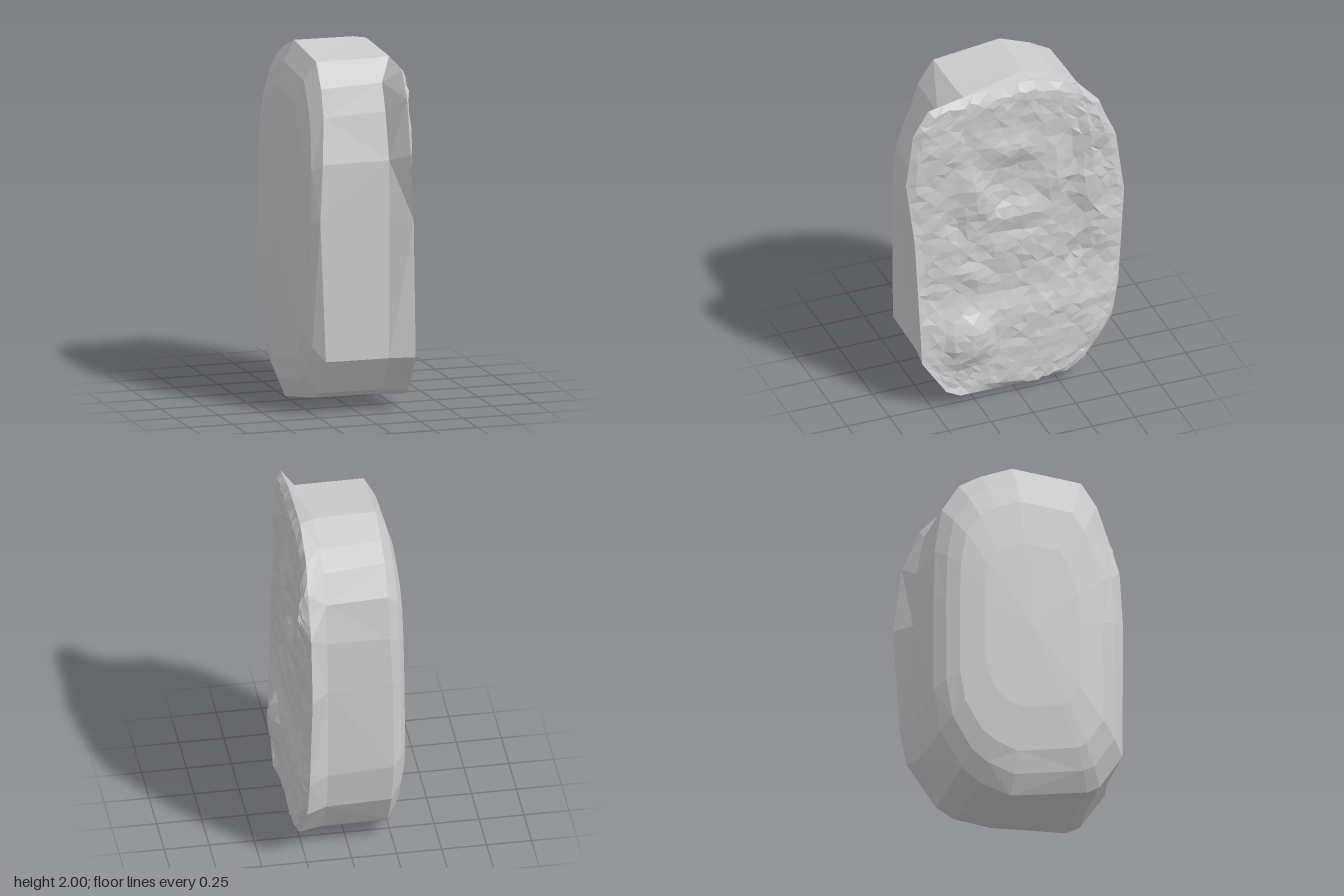
import * as THREE from 'three';

// Back outline as [z, y, x offset], from the top round by -z, the bottom and +z
const backOutline = [
  [-0.08, 2.0, 0], [-0.26, 1.93, 0], [-0.38, 1.86, 0], [-0.48, 1.7, 0], [-0.52, 1.45, 0],
  [-0.53, 1.15, -0.01], [-0.53, 0.6, -0.01], [-0.49, 0.36, 0], [-0.37, 0.15, 0], [-0.27, 0.07, 0],
  [-0.1, 0.0, -0.02], [0.34, 0.08, 0], [0.41, 0.12, 0], [0.54, 0.32, 0], [0.535, 1.1, -0.04],
  [0.52, 1.42, -0.025], [0.45, 1.67, 0], [0.4, 1.82, 0], [0.31, 1.955, 0],
];
// Front rim as [z, y, x], in the same order
const frontOutline = [
  [-0.1, 1.98, 0.22], [-0.36, 1.9, 0.23], [-0.49, 1.77, 0.24], [-0.53, 1.66, 0.24],
  [-0.59, 1.53, 0.24], [-0.64, 1.15, 0.24], [-0.6, 0.57, 0.25], [-0.56, 0.36, 0.255],
  [-0.39, 0.13, 0.27], [-0.29, 0.07, 0.27], [-0.1, 0.012, 0.21], [0.35, 0.07, 0.295],
  [0.43, 0.11, 0.29], [0.57, 0.32, 0.285], [0.605, 1.1, 0.262], [0.645, 1.47, 0.232],
  [0.6, 1.78, 0.225], [0.51, 1.92, 0.225], [0.3, 1.96, 0.22],
];

// Carved forms: centre z, centre y, half width, half height, tilt, height
const carvings = [
  [0.29, 0.41, 0.13, 0.15, 0.2, 0.05],    // boulder
  [0.03, 1.58, 0.16, 0.07, 0, 0.018],     // arch over the niche
  [0.24, 1.32, 0.06, 0.2, -0.45, 0.022],
  [-0.22, 1.36, 0.06, 0.16, 0.1, 0.02],
  [0.02, 1.36, 0.12, 0.14, 0, -0.02],     // niche
  [0.0, 1.15, 0.16, 0.07, 0, 0.02],       // sill
  [0.0, 0.93, 0.16, 0.1, 0, 0.012],
  [0.26, 0.8, 0.1, 0.06, 0.5, 0.02],
  [-0.36, 0.83, 0.05, 0.11, 0.6, -0.02],  // gouges
  [0.36, 1.15, 0.05, 0.14, -0.3, -0.02],
  [0.42, 1.66, 0.12, 0.09, 0.4, 0.012],
  [-0.46, 1.6, 0.08, 0.16, 0.2, 0.035],   // raised right edge
  [-0.42, 1.28, 0.08, 0.18, 0, 0.035],
  [-0.5, 0.95, 0.07, 0.15, 0, 0.02],
  [-0.46, 0.34, 0.07, 0.08, 0.3, 0.012],
];

// Fixed pseudo-random value from -1 to 1
function hash(a, b) {
  const s = Math.sin(a * 127.1 + b * 311.7) * 43758.5453;
  return 2 * (s - Math.floor(s)) - 1;
}

// Plain field over a projecting foot, plus the carved forms
function reliefHeight(z, y) {
  let x = 0.282 - 0.028 * THREE.MathUtils.smoothstep(y, 0.5, 0.7);
  for (const [cz, cy, rz, ry, tilt, h] of carvings) {
    const dz = z - cz, dy = y - cy;
    const u = (dz * Math.cos(tilt) + dy * Math.sin(tilt)) / rz;
    const v = (dy * Math.cos(tilt) - dz * Math.sin(tilt)) / ry;
    x += h * Math.exp(-((u * u + v * v) ** 2));
  }
  return x;
}

// Back outline shrunk about the middle; the dome leans slightly forward at the top
const backRing = (s, x) => backOutline.map(([z, y, dx]) =>
  [x + 0.012 * (y - 1) * s + dx * Math.max(0, 5 * s - 4), 1 + (y - 1) * s, z * s]);
const frontRing = frontOutline.map(([z, y, x]) => [x, y, z]);
// Ring part way from the back outline to the front rim
const wallRing = (t, x) => backOutline.map(([z, y], i) => [
  x, y + (frontOutline[i][1] - y) * t, z + (frontOutline[i][0] - z) * t]);

// Skin over rows of equal length; closed rows wrap round
function skin(name, rows, closed) {
  const n = rows[0].length, index = [];
  for (let r = 0; r < rows.length - 1; r++) {
    for (let i = 0; i < (closed ? n : n - 1); i++) {
      const a = r * n + i, b = r * n + (i + 1) % n;
      if ((r + i) % 2) index.push(a, a + n, b, b, a + n, b + n);
      else index.push(a, a + n, b + n, a, b + n, b);
    }
  }
  const geometry = new THREE.BufferGeometry();
  geometry.setAttribute('position', new THREE.Float32BufferAttribute(rows.flat(2), 3));
  geometry.setIndex(index);
  geometry.computeVertexNormals();
  const mesh = new THREE.Mesh(geometry, new THREE.MeshStandardMaterial({
    color: 0xcccccc, flatShading: true, roughness: 0.9, side: THREE.DoubleSide }));
  mesh.name = name;
  return mesh;
}

// Stretch of the front rim through the given outline points
function rimPath(indices) {
  const points = indices.map((i) => new THREE.Vector3(...frontRing[i]));
  const path = new THREE.CurvePath();
  for (let i = 1; i < points.length; i++) path.add(new THREE.LineCurve3(points[i - 1], points[i]));
  return path;
}

// Patch spanning four stretches of rim, raised inside to the carved height
function faceRows(rowCount, columns) {
  const top = rimPath([17, 18, 0, 1, 2]), bottom = rimPath([12, 11, 10, 9, 8]);
  const left = rimPath([17, 16, 15, 14, 13, 12]), right = rimPath([2, 3, 4, 5, 6, 7, 8]);
  const [tl, tr, bl, br] = [17, 2, 12, 8].map((i) => new THREE.Vector3(...frontRing[i]));
  return Array.from({ length: rowCount + 1 }, (_, r) => Array.from({ length: columns + 1 }, (_, c) => {
    const u = c / columns, v = r / rowCount;
    const p = new THREE.Vector3()
      .addScaledVector(top.getPoint(u), 1 - v).addScaledVector(bottom.getPoint(u), v)
      .addScaledVector(left.getPoint(v), 1 - u).addScaledVector(right.getPoint(v), u)
      .addScaledVector(tl, (u - 1) * (1 - v)).addScaledVector(tr, -u * (1 - v))
      .addScaledVector(bl, (u - 1) * v).addScaledVector(br, -u * v);
    const inset = Math.min(Math.min(u, 1 - u) * 1.1, Math.min(v, 1 - v) * 1.8);
    const w = Math.min(1, inset / 0.05);
    p.z += hash(r, c) * 0.012 * w;
    p.y += hash(c, r + 40) * 0.014 * w;
    const carved = reliefHeight(p.z, p.y) + hash(c + 7, r + 90) * 0.005;
    return [p.x + (carved - p.x) * w, p.y, p.z];
  }));
}

export function createModel() {
  const group = new THREE.Group();
  group.name = 'carvedStoneSlab';

  // Slab with a gently domed back and a front edge that flares out
  group.add(skin('slabBody', [
    backRing(0.001, -0.34),
    backRing(0.5, -0.33),
    backRing(0.76, -0.31),
    backRing(0.89, -0.275),
    backRing(1, -0.215),
    wallRing(0.2, 0.14),
    frontRing,
  ], true));

  group.add(skin('carvedFace', faceRows(38, 24), false));

  return group;
}
